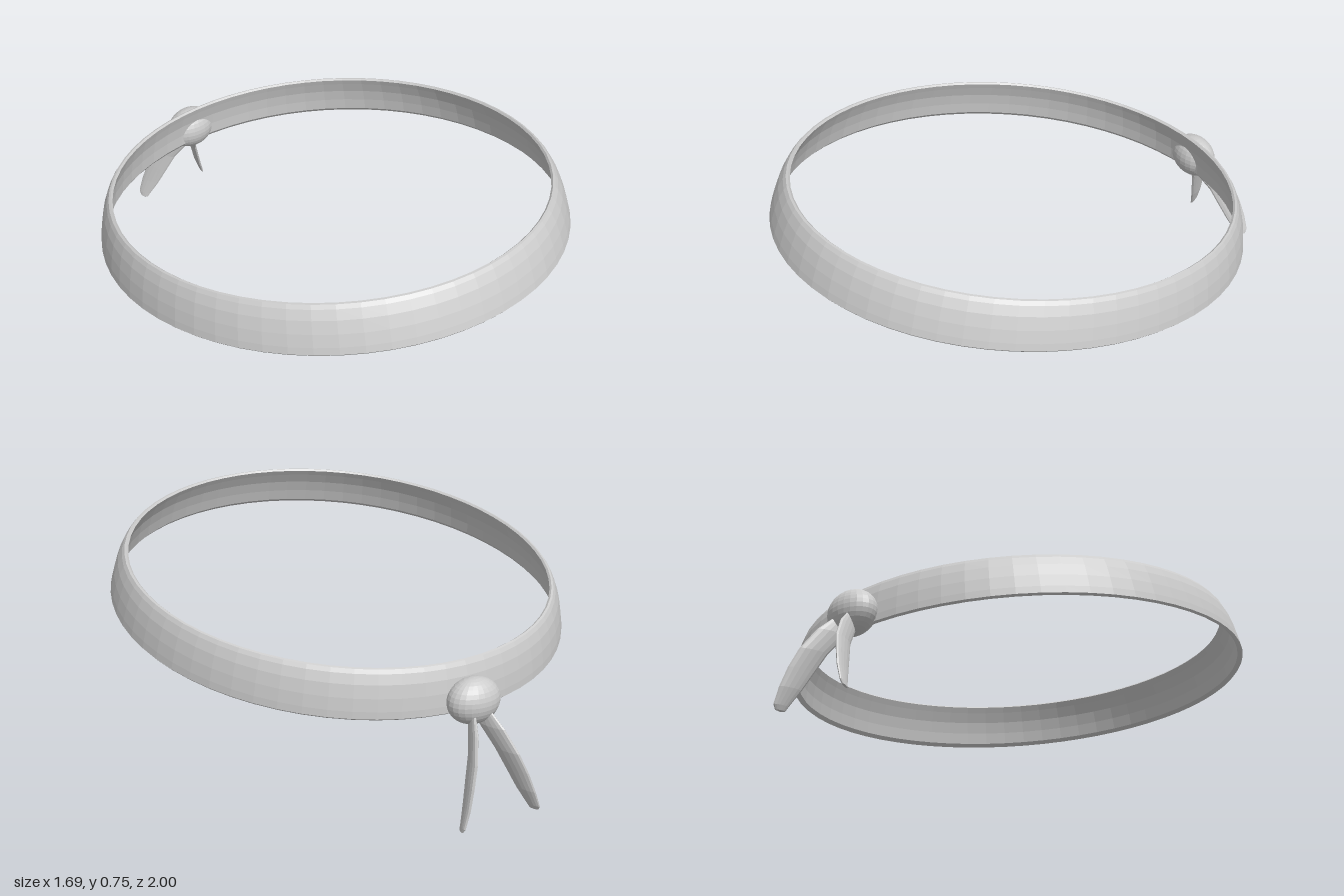
import * as THREE from 'three';

const grey = new THREE.MeshStandardMaterial({ color: 0xcccccc, flatShading: true });
grey.name = 'grey cloth';

function addPart(parent, name, geometry) {
  const mesh = new THREE.Mesh(geometry, grey);
  mesh.name = name;
  parent.add(mesh);
  return mesh;
}

// Curved cloth cross-section swept round the head: up the outside, down the inside
function bandGeometry() {
  const profile = [
    [0.893, -0.003], [0.9, 0.004], [0.896, 0.03], [0.886, 0.075], [0.872, 0.12],
    [0.856, 0.153], [0.846, 0.166], [0.838, 0.168], [0.831, 0.162],
    [0.842, 0.14], [0.86, 0.1], [0.872, 0.055], [0.88, 0.01], [0.893, -0.003],
  ].map(([r, y]) => new THREE.Vector2(r, y));
  return new THREE.LatheGeometry(profile, 64);
}

// Slices down one hanging tail: y, centre x, centre z, half width, half thickness
const tailSlices = [
  [0.365, 0.02, -0.83, 0.001, 0.001],
  [0.36, 0.02, -0.83, 0.03, 0.008],
  [0.30, 0.038, -0.863, 0.054, 0.012],
  [0.22, 0.07, -0.912, 0.051, 0.012],
  [0.15, 0.097, -0.937, 0.048, 0.011],
  [0.08, 0.122, -0.958, 0.04, 0.01],
  [0.02, 0.146, -0.973, 0.027, 0.007],
  [0.004, 0.151, -0.971, 0.018, 0.005],
  [0, 0.152, -0.968, 0.001, 0.001],
];

// Flattened leaf-shaped loft, mirrored by side (+1 left, -1 right)
function tailGeometry(side) {
  const n = 14, s = Math.sin(0.36), c = Math.cos(0.36);
  const positions = [], index = [];
  tailSlices.forEach(([y, cx, cz, w, t], j) => {
    for (let i = 0; i < n; i++) {
      const a = (i / n) * Math.PI * 2;
      const u = w * Math.cos(a), v = t * Math.sin(a);
      positions.push(side * (cx + u * s + v * c), y, cz - u * c + v * s);
      if (j === tailSlices.length - 1) continue;
      const p = j * n + i, q = j * n + (i + 1) % n;
      if (side > 0) index.push(p, q, q + n, p, q + n, p + n);
      else index.push(p, q + n, q, p, p + n, q + n);
    }
  });
  const geometry = new THREE.BufferGeometry();
  geometry.setAttribute('position', new THREE.Float32BufferAttribute(positions, 3));
  geometry.setIndex(index);
  geometry.computeVertexNormals();
  return geometry;
}

export function createModel() {
  const model = new THREE.Group();
  model.name = 'headband';

  // Slightly oval band, tilted up at the front
  const band = addPart(model, 'band', bandGeometry());
  band.scale.x = 0.939;
  band.rotation.x = -0.142;
  band.position.set(0, 0.4625, 0.11);

  // Knot at the back
  const knot = addPart(model, 'knot', new THREE.SphereGeometry(1, 24, 16));
  knot.scale.set(0.1, 0.083, 0.072);
  knot.position.set(0, 0.383, -0.808);

  // Two loose ends hanging from the knot
  addPart(model, 'leftTail', tailGeometry(1));
  addPart(model, 'rightTail', tailGeometry(-1));

  return model;
}
